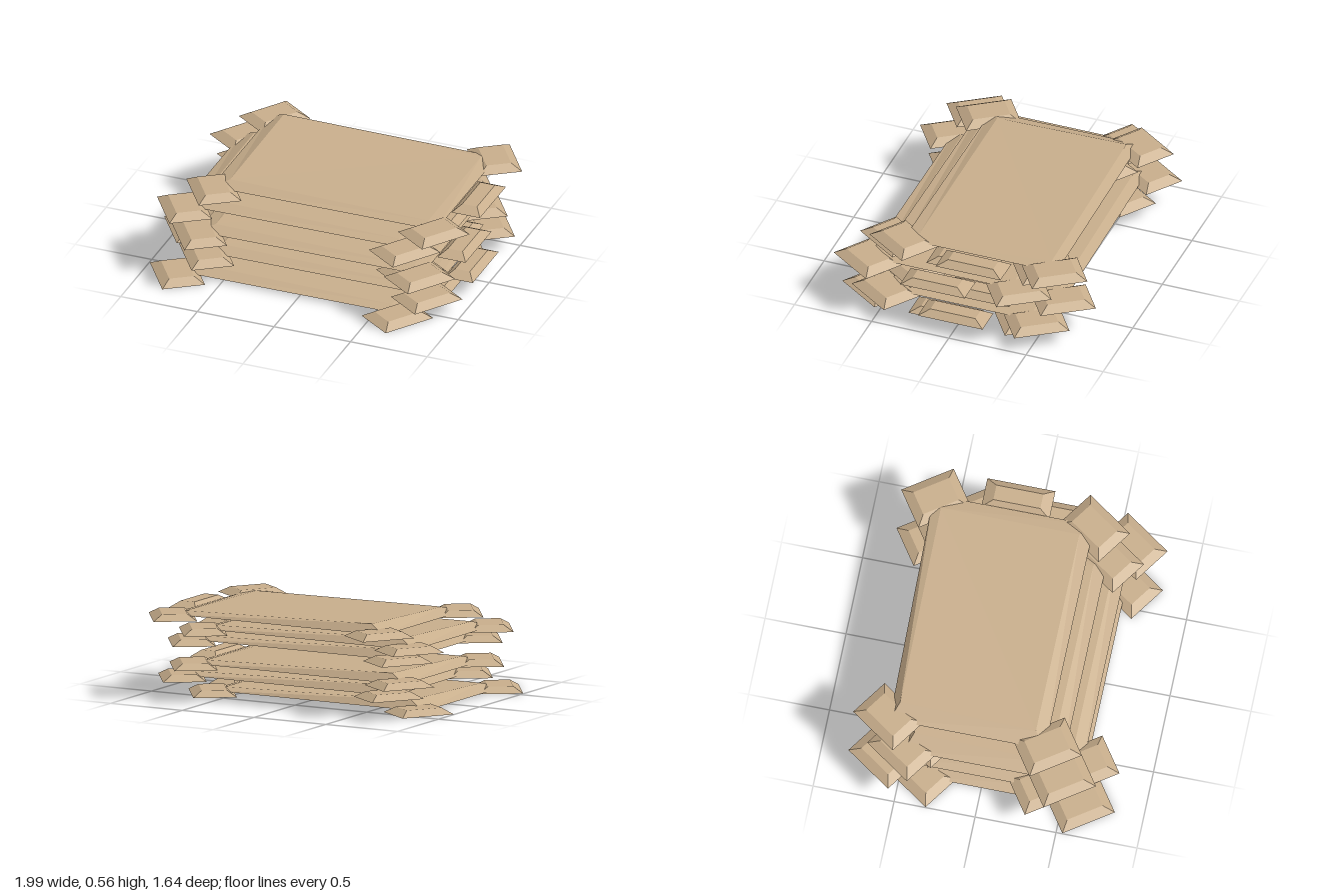
import * as THREE from 'three';

const tan = new THREE.MeshStandardMaterial({ color: 0xc8ae8c, flatShading: true });
tan.name = 'tan';

// Bevelled slab: four bottom and four top corners, each [x, y, z],
// in the order back left, back right, front right, front left of the plan
function slabGeometry(bottom, top) {
  const pos = [];
  const quad = (a, b, c, d) => pos.push(...a, ...b, ...c, ...a, ...c, ...d);
  quad(top[3], top[2], top[1], top[0]);
  quad(bottom[0], bottom[1], bottom[2], bottom[3]);
  for (let i = 0; i < 4; i++) {
    const j = (i + 1) % 4;
    quad(bottom[j], bottom[i], top[i], top[j]);
  }
  const geo = new THREE.BufferGeometry();
  geo.setAttribute('position', new THREE.Float32BufferAttribute(pos, 3));
  geo.computeVertexNormals();
  return geo;
}

// Regular block with sloping sides
function blockGeometry(width, height, depth, insetX, insetZ) {
  const ring = (x, y, z) => [[-x, y, -z], [x, y, -z], [x, y, z], [-x, y, z]];
  return slabGeometry(
    ring(width / 2, 0, depth / 2),
    ring(width / 2 - insetX, height, depth / 2 - insetZ)
  );
}

export function createModel() {
  const model = new THREE.Group();
  model.name = 'stackedSheets';

  // Main sheet: thick at the back corner of -x, thin at the opposite corner
  const sheetGeo = slabGeometry(
    [[-0.74, 0.01, -0.48], [0.73, 0.018, -0.505], [0.73, 0.02, 0.485], [-0.74, 0.012, 0.48]],
    [[-0.635, 0.066, -0.435], [0.65, 0.038, -0.445], [0.65, 0.032, 0.41], [-0.645, 0.045, 0.405]]
  );
  const cornerGeo = blockGeometry(0.345, 0.037, 0.265, 0.056, 0.056);
  const tabGeo = blockGeometry(0.185, 0.036, 0.42, 0.045, 0.065);
  const heights = [0, 0.1, 0.2, 0.3, 0.395, 0.49];

  heights.forEach((y, i) => {
    const layer = new THREE.Group();
    layer.name = 'layer' + (i + 1);
    layer.position.set(i % 2 ? 0.072 : -0.072, y, 0.116 * (1 - (i % 3)));

    const add = (geo, name) => {
      const mesh = new THREE.Mesh(geo, tan);
      mesh.name = name;
      layer.add(mesh);
      return mesh;
    };
    add(sheetGeo, 'sheet');

    // Corner blocks set diagonally over each corner
    for (const sx of [-1, 1]) {
      for (const sz of [-1, 1]) {
        const corner = add(cornerGeo, 'cornerBlock');
        corner.position.set(sx * 0.718, 0, sz * 0.489);
        corner.rotation.y = sx * sz * THREE.MathUtils.degToRad(55.4);
      }
    }

    // Tab in the middle of one side
    add(tabGeo, 'sideTab').position.set(0.813, 0, 0);
    model.add(layer);
  });
  return model;
}
